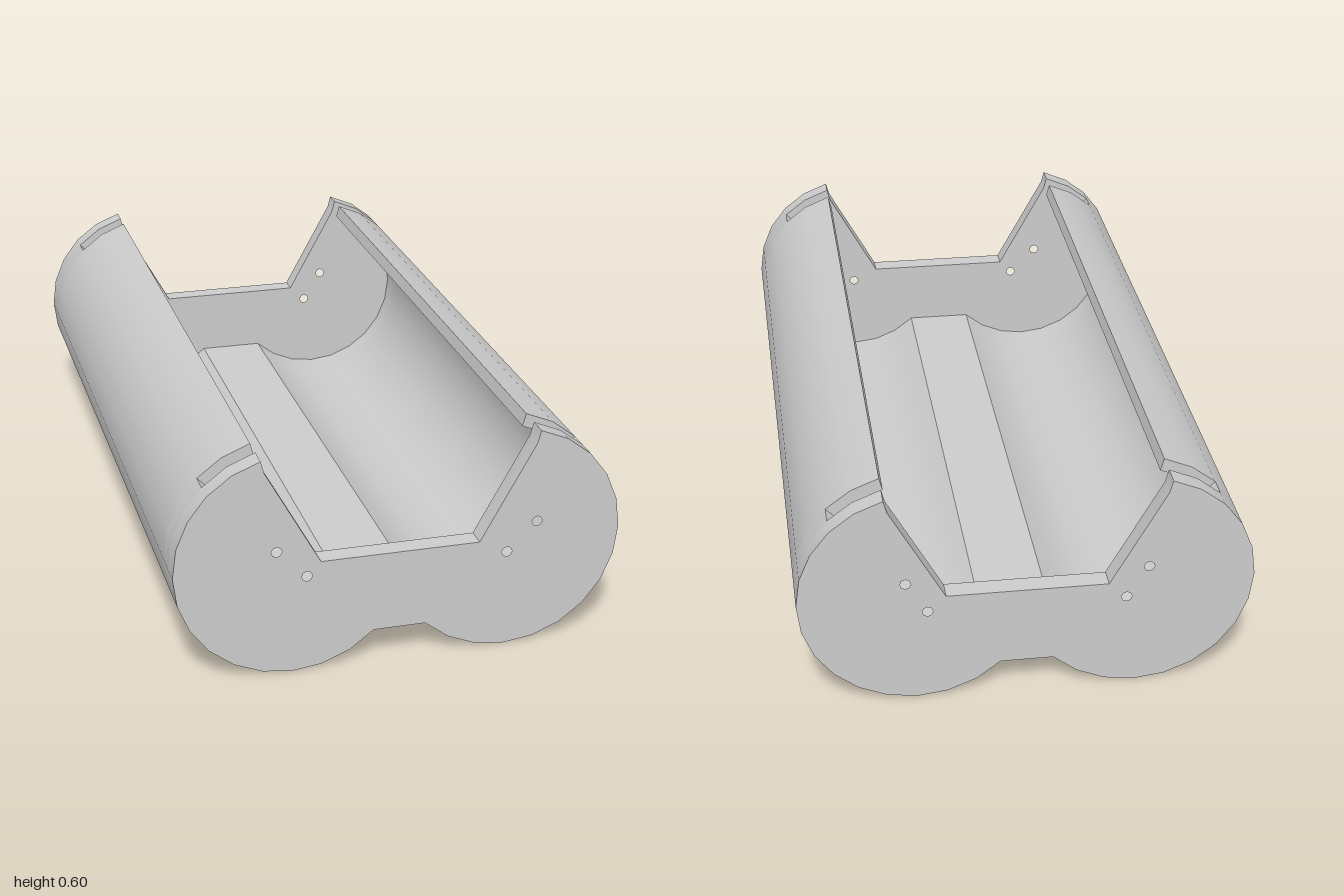
import * as THREE from 'three';
import { toCreasedNormals } from 'three/addons/utils/BufferGeometryUtils.js';

const CX = 0.285, CY = 0.305; // centre of each round bay
const R_OUT = 0.305, R_IN = 0.27;
const Z_END = 1, Z_PLATE = 0.945, Z_NOTCH = 0.89;

// Points on the +x bay circle, from startDeg down and round to the centre web
function arc(radius, startDeg) {
  const pts = [];
  for (let a = startDeg; a >= -135; a -= 15) {
    const t = THREE.MathUtils.degToRad(a);
    pts.push(new THREE.Vector2(CX + radius * Math.cos(t), CY + radius * Math.sin(t)));
  }
  return pts;
}

// Half outline on +x, continued by its mirror image on -x
function mirrored(pts) {
  return [...pts, ...pts.map((p) => new THREE.Vector2(-p.x, p.y)).reverse()];
}

// Open double trough whose side walls reach up to topDeg
function troughShape(topDeg) {
  const outer = mirrored(arc(R_OUT, topDeg));
  const inner = mirrored(arc(R_IN, topDeg)).reverse();
  return new THREE.Shape([...outer, ...inner]);
}

// End plate with a V-shaped opening and drilled wire holes
function plateShape(holes) {
  const rim = arc(R_IN, 75)[0];
  const opening = [new THREE.Vector2(0.21, 0.305), rim];
  const shape = new THREE.Shape(mirrored([...opening, ...arc(R_OUT, 75)]));
  for (const [x, y] of holes) {
    shape.holes.push(new THREE.Path().absarc(x, y, 0.014, 0, Math.PI * 2, true));
  }
  return shape;
}

export function createModel() {
  const group = new THREE.Group();
  const material = new THREE.MeshStandardMaterial({ color: 0xcccccc });

  function addSlab(name, shape, z0, z1) {
    const geometry = new THREE.ExtrudeGeometry(shape, {
      depth: z1 - z0, bevelEnabled: false, curveSegments: 4,
    });
    geometry.translate(0, 0, z0);
    const mesh = new THREE.Mesh(toCreasedNormals(geometry, 0.5), material);
    mesh.name = name;
    group.add(mesh);
  }

  // Main trough, with lower walls at both ends forming the strap notches
  addSlab('trough', troughShape(75), -Z_NOTCH, Z_NOTCH);
  addSlab('frontNotchSection', troughShape(45), Z_NOTCH, Z_PLATE);
  addSlab('backNotchSection', troughShape(45), -Z_PLATE, -Z_NOTCH);

  // End plates
  const frontHoles = [[-0.325, 0.346], [-0.246, 0.268], [0.364, 0.346], [0.285, 0.268]];
  const backHoles = [[-0.313, 0.35], [-0.257, 0.262], [0.313, 0.35], [0.257, 0.262]];
  addSlab('frontPlate', plateShape(frontHoles), Z_PLATE, Z_END);
  addSlab('backPlate', plateShape(backHoles), -Z_END, -Z_PLATE);

  return group;
}
